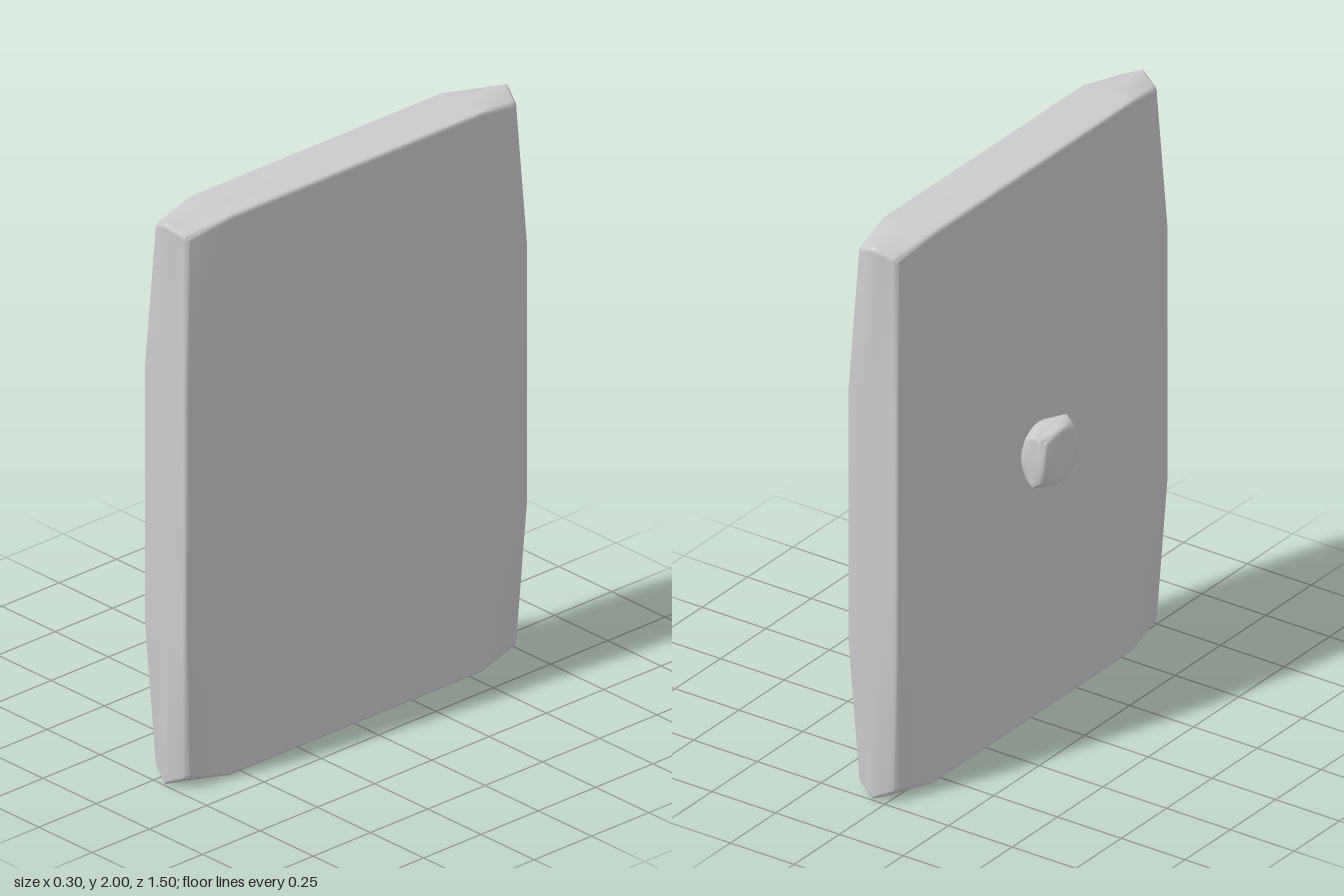
import * as THREE from 'three';
import { mergeVertices } from 'three/addons/utils/BufferGeometryUtils.js';

const AXES = ['x', 'y', 'z'];
const SEG = 10;

// Box with a small rounded edge whose corners are drawn inward.
// size: full extents, radius: edge rounding, start: where on each half axis
// the corner taper begins (0..1), inset: how far the very corner is pulled in
function softBox(size, radius, start, inset) {
  const half = size.map((s) => s / 2);

  // Uneven spacing of the grid lines, dense near the edges
  const levels = half.map((h, i) => {
    const inner = h - radius;
    const c = Math.min(Math.max(start[i] * h, 0.3 * h), inner * 0.9);
    return [0, c, (c + inner) / 2, inner, h - radius * 0.45, h];
  });

  let geo = new THREE.BoxGeometry(2, 2, 2, SEG, SEG, SEG);
  geo.deleteAttribute('uv');
  geo.deleteAttribute('normal');
  geo = mergeVertices(geo, 1e-4);

  const pos = geo.attributes.position;
  const p = new THREE.Vector3();
  const core = new THREE.Vector3();
  for (let v = 0; v < pos.count; v++) {
    p.fromBufferAttribute(pos, v);
    let weight = 1;
    AXES.forEach((a, i) => {
      const t = p[a];
      p[a] = Math.sign(t) * levels[i][Math.round((Math.abs(t) * SEG) / 2)];
      const reach = Math.abs(p[a]) / half[i];
      weight *= THREE.MathUtils.clamp((reach - start[i]) / (1 - start[i]), 0, 1);
      core[a] = THREE.MathUtils.clamp(p[a], radius - half[i], half[i] - radius);
    });
    // Round the edges, then taper the corners
    p.sub(core).setLength(radius).add(core);
    AXES.forEach((a, i) => { p[a] -= Math.sign(p[a]) * inset[i] * weight; });
    pos.setXYZ(v, p.x, p.y, p.z);
  }
  geo.computeVertexNormals();
  return geo;
}

export function createModel() {
  const group = new THREE.Group();
  const material = new THREE.MeshStandardMaterial({ color: 0xcccccc });

  const add = (name, geometry, x, y, z) => {
    const mesh = new THREE.Mesh(geometry, material);
    mesh.name = name;
    mesh.position.set(x, y, z);
    group.add(mesh);
  };

  // Upright slab
  add('panel', softBox([0.2, 2, 1.5], 0.015, [0, 0.45, 0.73], [0.024, 0.035, 0.03]), 0.05, 1, 0);

  // Small block on the right-hand face
  add('knob', softBox([0.1, 0.195, 0.2], 0.016, [0, 0.2, 0.2], [0.012, 0.02, 0.015]), -0.1, 0.975, 0.02);

  return group;
}
